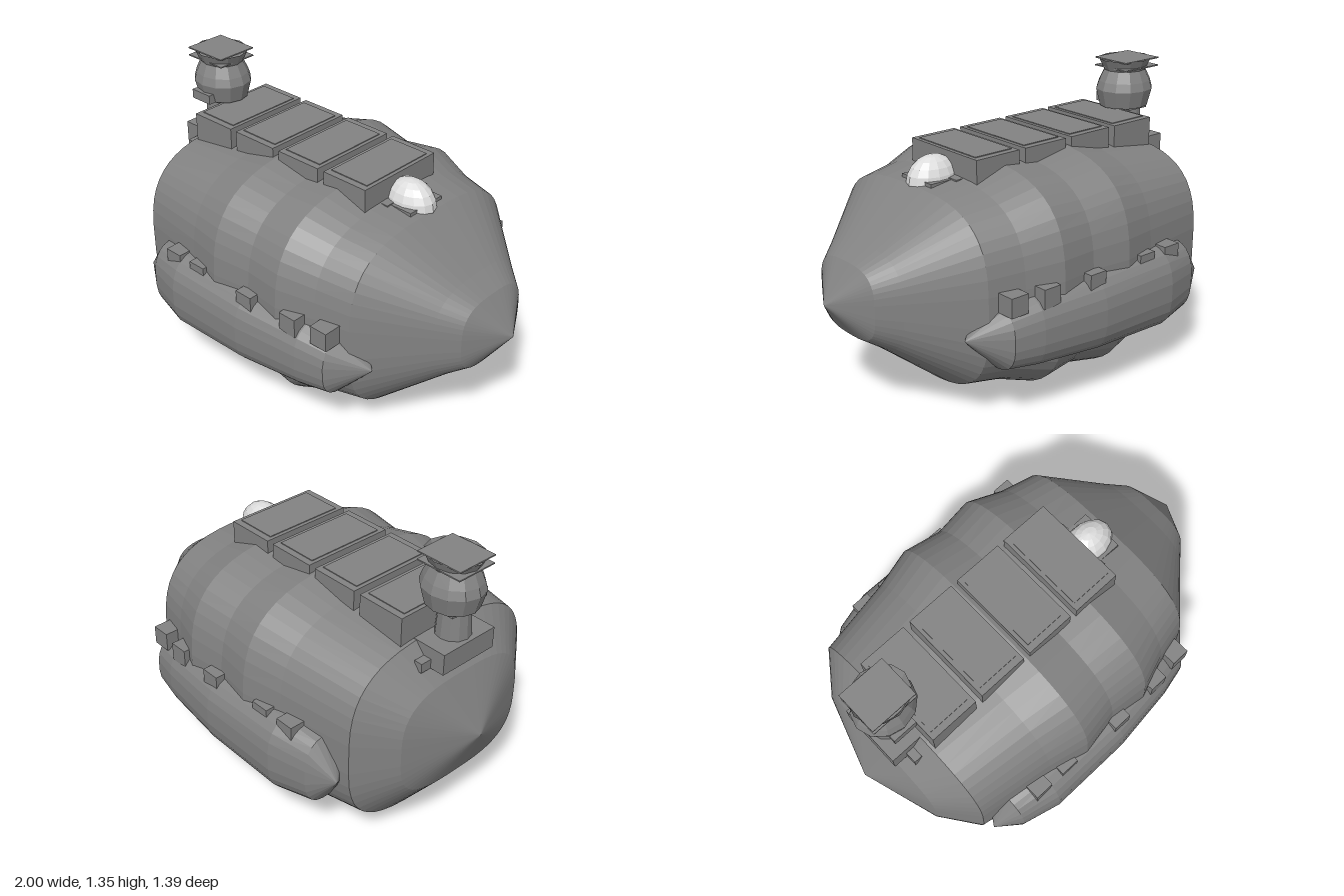
import * as THREE from 'three';

const grey = new THREE.MeshStandardMaterial({ color: 0x828282, flatShading: true });
grey.name = 'hull grey';
const greyOpen = new THREE.MeshStandardMaterial({ color: 0x828282, flatShading: true, side: THREE.DoubleSide });
greyOpen.name = 'hull grey open';
const pale = new THREE.MeshStandardMaterial({ color: 0xdcdcdc, flatShading: true });
pale.name = 'pale glass';

// Skin rounded-square sections [x, yLow, yHigh, zCentre, zHalf] along x
function loft(stations, segs, power) {
  const pos = [], idx = [];
  const bend = v => Math.sign(v) * Math.pow(Math.abs(v), 2 / power);
  for (const [x, lo, hi, cz, hz] of stations) {
    for (let j = 0; j < segs; j++) {
      const t = (j + 0.5) / segs * Math.PI * 2;
      pos.push(x, (lo + hi) / 2 + bend(Math.sin(t)) * (hi - lo) / 2, cz + bend(Math.cos(t)) * hz);
    }
  }
  for (let i = 0; i < stations.length - 1; i++) {
    for (let j = 0; j < segs; j++) {
      const k = (j + 1) % segs;
      const a = i * segs + j, c = i * segs + k, b = a + segs, d = c + segs;
      idx.push(a, b, d, a, d, c);
    }
  }
  const g = new THREE.BufferGeometry();
  g.setAttribute('position', new THREE.Float32BufferAttribute(pos, 3));
  g.setIndex(idx);
  g.computeVertexNormals();
  return g;
}

export function createModel() {
  const model = new THREE.Group();
  model.name = 'airship';

  const add = (name, geo, mat, x = 0, y = 0, z = 0, parent = model) => {
    const m = new THREE.Mesh(geo, mat);
    m.name = name;
    m.position.set(x, y, z);
    parent.add(m);
    return m;
  };
  // Box given by its limits
  const box = (name, x0, x1, y0, y1, z0, z1, parent = model) =>
    add(name, new THREE.BoxGeometry(x1 - x0, y1 - y0, z1 - z0), grey,
      (x0 + x1) / 2, (y0 + y1) / 2, (z0 + z1) / 2, parent);

  // Main hull
  add('hull', loft([
    [-1, 0.539, 0.541, 0, 0.001],
    [-0.88, 0.27, 0.815, 0, 0.36],
    [-0.745, 0.10, 0.975, 0, 0.53],
    [-0.38, 0.05, 1.025, 0, 0.59],
    [-0.19, 0.004, 1.07, 0, 0.637],
    [0, 0.04, 1.035, 0, 0.605],
    [0.19, 0.018, 1.057, 0, 0.627],
    [0.36, 0.075, 1.0, 0, 0.565],
    [0.53, 0.10, 0.975, 0, 0.525],
    [0.79, 0.31, 0.77, 0, 0.285],
    [0.88, 0.37, 0.71, 0, 0.205],
    [1, 0.539, 0.541, 0, 0.001],
  ], 48, 3.1), grey);

  // Side pods with their row of small blocks
  const podGeo = side => loft([
    [-0.72, 0.424, 0.426, 0.57, 0.001],
    [-0.605, 0.25, 0.595, 0.52, 0.13],
    [-0.42, 0.217, 0.628, 0.52, 0.178],
    [0, 0.23, 0.615, 0.52, 0.178],
    [0.33, 0.25, 0.59, 0.50, 0.16],
    [0.47, 0.265, 0.56, 0.485, 0.142],
    [0.62, 0.424, 0.426, 0.475, 0.001],
  ].map(([x, lo, hi, z, h]) => [x, lo, hi, z * side, h]), 24, 2.6);
  for (const side of [1, -1]) {
    const pod = new THREE.Group();
    pod.name = side > 0 ? 'frontPod' : 'backPod';
    model.add(pod);
    add('podShell', podGeo(side), grey, 0, 0, 0, pod);
    for (const [x, z] of [[-0.465, 0.58], [-0.305, 0.58], [0.02, 0.595], [0.275, 0.58], [0.44, 0.56]]) {
      add('podBlock', new THREE.BoxGeometry(0.092, 0.09, 0.12), grey, x, 0.584, z * side, pod);
    }
  }

  // Roof hatches with raised lids
  for (let i = 0; i < 4; i++) {
    const x = -0.73 + i * 0.279;
    box('roofHatch', x, x + 0.243, 0.96, 1.103, -0.232, 0.23);
    box('hatchLid', x + 0.018, x + 0.225, 1.1, 1.107, -0.2, 0.198);
  }

  // Glass dome on its small mount
  const dome = add('dome', new THREE.SphereGeometry(1, 14, 10), pale, 0.41, 0.975, 0);
  dome.scale.set(0.13, 0.115, 0.093);
  box('domeMount', 0.35, 0.39, 0.96, 1.0, -0.14, 0.13);
  box('domePlate', 0.36, 0.50, 0.97, 0.995, -0.105, 0.105);

  // Turret at the rear end
  const turret = new THREE.Group();
  turret.name = 'turret';
  model.add(turret);
  box('turretBase', -0.9, -0.68, 0.875, 0.975, -0.155, 0.15, turret);
  box('turretPegs', -0.83, -0.79, 0.875, 0.92, -0.21, 0.205, turret);
  const cx = -0.795;
  add('neck', new THREE.CylinderGeometry(0.07, 0.08, 0.16, 12), grey, cx - 0.01, 1.04, 0, turret);
  const head = add('head', new THREE.LatheGeometry([
    [0.001, 1.115], [0.125, 1.115], [0.148, 1.2], [0.135, 1.24], [0.108, 1.295], [0.135, 1.35],
  ].map(p => new THREE.Vector2(...p)), 12), greyOpen, cx + 0.008, 0, 0, turret);
  head.scale.z = 0.9;
  box('jaw', cx - 0.06, cx + 0.06, 1.115, 1.16, 0, 0.138, turret);
  box('collar', cx - 0.07, cx + 0.06, 1.1, 1.12, -0.08, 0.08, turret);
  // Stacked square caps
  for (const y of [1.31, 1.348]) {
    box('cap', cx - 0.115, cx + 0.115, y - 0.003, y + 0.003, -0.108, 0.1, turret);
  }
  return model;
}
